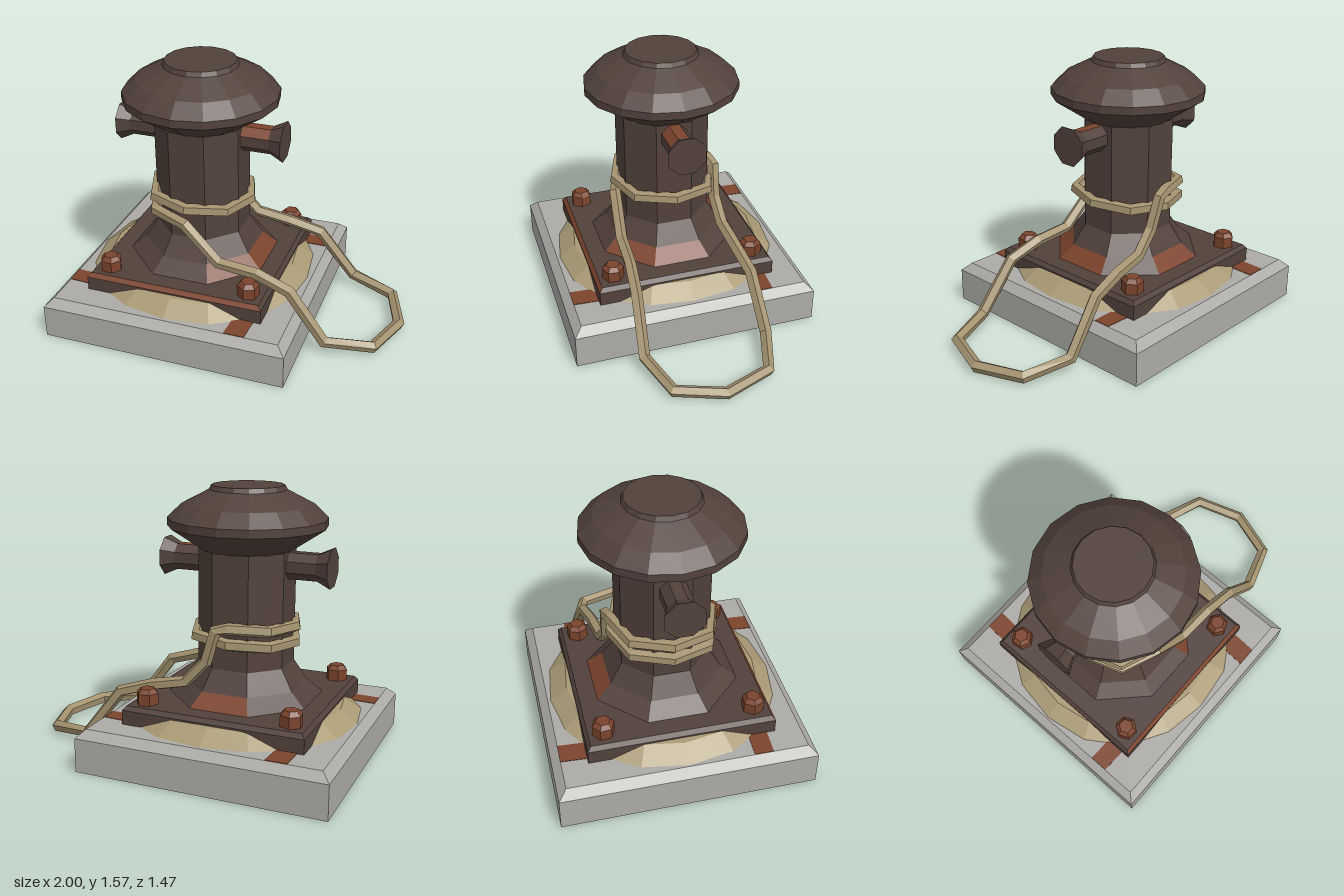
import * as THREE from 'three';

const flat = (name, color) => {
  const m = new THREE.MeshStandardMaterial({ color, flatShading: true });
  m.name = name;
  return m;
};

// Closed polyline with one tube ring at each corner
class Polyline extends THREE.Curve {
  constructor(points) {
    super();
    this.points = points.map(p => new THREE.Vector3(...p));
  }
  getPoint(t, target = new THREE.Vector3()) {
    const n = this.points.length, s = (((t % 1) + 1) % 1) * n, i = Math.floor(s + 1e-6);
    return target.lerpVectors(this.points[i % n], this.points[(i + 1) % n], Math.max(0, s - i));
  }
  getPointAt(t, target) { return this.getPoint(t, target); }
  getTangentAt(t, target = new THREE.Vector3()) {
    const d = 0.5 / this.points.length;
    return target.copy(this.getPoint(t + d)).sub(this.getPoint(t - d)).normalize();
  }
}

export function createModel() {
  const concrete = flat('concrete', 0xacaba7);
  const iron = flat('dark iron', 0x52413b);
  const rust = flat('rust', 0x7c442d);
  const ropeMat = flat('rope', 0xa3926f);
  const sandMat = flat('sand', 0xaa9b76);

  const model = new THREE.Group();
  model.name = 'bollard';
  const post = new THREE.Group();
  post.name = 'post';
  post.position.x = -0.267;
  model.add(post);

  const add = (parent, name, geo, mat) => {
    const mesh = new THREE.Mesh(geo, mat);
    mesh.name = name;
    parent.add(mesh);
    return mesh;
  };

  // Prism with flat sides facing the axes; sizes are centre-to-flat, listed facets use the second material
  const prism = (parent, name, sides, r0, r1, y0, y1, mat, rusty = []) => {
    const k = 1 / Math.cos(Math.PI / sides);
    const geo = new THREE.CylinderGeometry(r1 * k, r0 * k, y1 - y0, sides, 1, false, Math.PI / sides);
    geo.translate(0, (y0 + y1) / 2, 0);
    geo.clearGroups();
    for (let i = 0; i < sides; i++) geo.addGroup(i * 6, 6, rusty.includes(i) ? 1 : 0);
    geo.addGroup(sides * 6, geo.index.count - sides * 6, 0);
    return add(parent, name, geo, [mat, rust]);
  };

  // Concrete slab with bevelled top
  prism(post, 'slab', 4, 0.733, 0.733, 0, 0.2, concrete);
  prism(post, 'slabBevel', 4, 0.733, 0.685, 0.2, 0.247, concrete);

  // Rust stains on the slab: corner points as x, z
  const stains = [
    [[-0.76, -0.685], [-0.64, -0.685], [-0.65, -0.5], [-0.77, -0.5]],
    [[0.24, -0.49], [0.417, -0.48], [0.417, -0.38], [0.24, -0.38]],
    [[-0.952, 0.37], [-0.76, 0.38], [-0.76, 0.49], [-0.952, 0.48]],
    [[0.11, 0.5], [0.23, 0.5], [0.22, 0.685], [0.1, 0.685]],
  ];
  for (const pts of stains) {
    const shape = new THREE.Shape(pts.map(([x, z]) => new THREE.Vector2(x, -z)));
    const geo = new THREE.ExtrudeGeometry(shape, { depth: 0.004, bevelEnabled: false });
    geo.rotateX(-Math.PI / 2);
    geo.translate(0, 0.246, 0);
    add(model, 'rustStain', geo, rust);
  }

  // Low uneven mound of sand under the plate
  const moundGeo = new THREE.LatheGeometry(
    [[0.68, 0.247], [0.58, 0.32], [0, 0.33]].map(p => new THREE.Vector2(...p)), 16);
  const pos = moundGeo.attributes.position;
  for (let i = 0; i < pos.count; i++) {
    const a = Math.atan2(pos.getX(i), pos.getZ(i));
    const s = 1 - 0.018 * Math.cos(4 * a) + 0.012 * Math.sin(3 * a);
    pos.setX(i, pos.getX(i) * s);
    pos.setZ(i, pos.getZ(i) * s);
  }
  add(post, 'sandMound', moundGeo, sandMat);

  // Base plate with a rusted front bevel
  prism(post, 'basePlate', 4, 0.537, 0.537, 0.247, 0.33, iron);
  prism(post, 'basePlateBevel', 4, 0.537, 0.517, 0.33, 0.355, iron, [3]);

  // Bolts in the plate corners
  for (const x of [-1, 1]) for (const z of [-1, 1]) {
    const bolt = new THREE.Group();
    bolt.name = 'bolt';
    bolt.position.set(x * 0.428, 0, z * 0.43);
    bolt.rotation.y = 0.25 * x + 0.15 * z;
    prism(bolt, 'boltHead', 6, 0.056, 0.056, 0.35, 0.42, rust);
    prism(bolt, 'boltTop', 6, 0.056, 0.036, 0.42, 0.445, rust);
    post.add(bolt);
  }

  // Flared foot and octagonal column
  prism(post, 'footLower', 8, 0.42, 0.33, 0.35, 0.432, iron, [0, 1, 3]);
  prism(post, 'footUpper', 8, 0.33, 0.257, 0.432, 0.55, iron);
  prism(post, 'column', 8, 0.257, 0.257, 0.55, 1.21, iron);

  // Mushroom cap
  const capProfile = [[0.25, 1.2], [0.455, 1.337], [0.455, 1.383], [0.375, 1.46],
    [0.22, 1.54], [0.207, 1.566], [0, 1.566]];
  add(post, 'cap', new THREE.LatheGeometry(capProfile.map(p => new THREE.Vector2(...p)), 16), iron);

  // Horn on each side, flaring at the tip
  for (const side of [-1, 1]) {
    const horn = new THREE.Group();
    horn.name = side > 0 ? 'leftHorn' : 'rightHorn';
    horn.position.y = 1.13;
    horn.rotation.z = -side * Math.PI / 2;
    prism(horn, 'hornShaft', 8, 0.075, 0.075, 0.2, 0.425, iron, side > 0 ? [5, 6] : []);
    prism(horn, 'hornTip', 8, 0.075, 0.11, 0.425, 0.503, iron);
    post.add(horn);
  }

  // Rope: hanging loop, then two rising turns round the column
  const ropePoints = [
    [-0.14, 0.6, -0.3], [-0.02, 0.47, -0.31], [0.18, 0.43, -0.325], [0.38, 0.37, -0.35],
    [0.6, 0.085, -0.37], [0.87, 0.05, -0.28], [0.965, 0.04, 0], [0.87, 0.05, 0.28],
    [0.6, 0.085, 0.37], [0.38, 0.37, 0.35], [0.18, 0.435, 0.33], [-0.06, 0.455, 0.32],
    [-0.27, 0.66, 0.3],
  ];
  const turns = 13;
  for (let i = 1; i <= turns; i++) {
    const a = -i * Math.PI / 4;
    const r = i % 2 ? 0.31 : 0.295;
    ropePoints.push([-0.267 + r * Math.sin(a), 0.665 + 0.0115 * i, r * Math.cos(a)]);
    if (i === 12) break;
  }
  // Rope crosses over the back of the turns before dropping
  ropePoints.push([-0.2, 0.79, -0.31]);
  add(model, 'rope', new THREE.TubeGeometry(new Polyline(ropePoints), ropePoints.length, 0.036, 5, true), ropeMat);

  return model;
}
